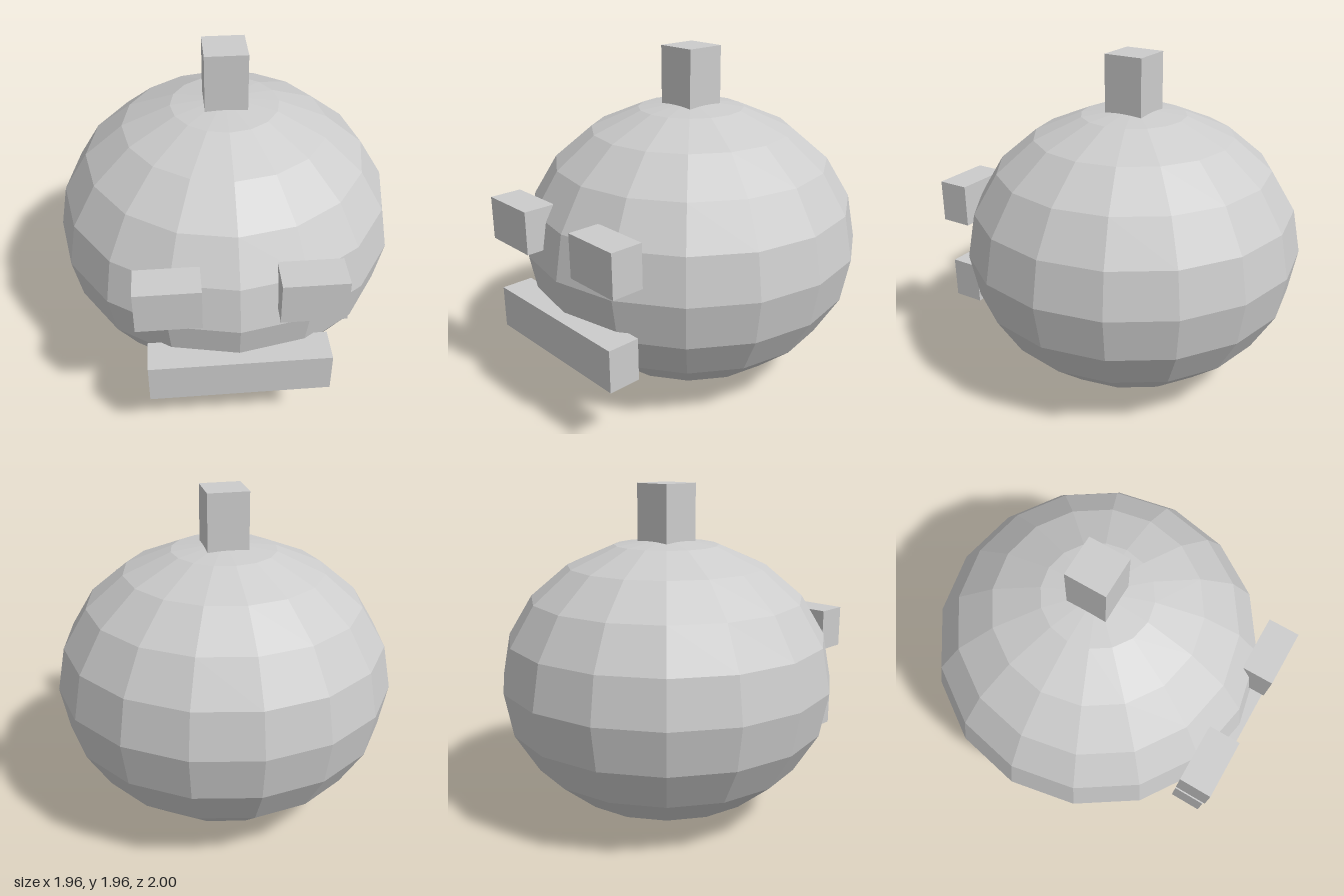
import * as THREE from 'three';

export function createModel() {
  const model = new THREE.Group();
  const grey = new THREE.MeshStandardMaterial({ color: 0xcccccc, flatShading: true });
  grey.name = 'plain grey';

  const add = (name, geometry, x, y, z) => {
    const mesh = new THREE.Mesh(geometry, grey);
    mesh.name = name;
    mesh.position.set(x, y, z);
    model.add(mesh);
  };
  const box = (w, h, d) => new THREE.BoxGeometry(w, h, d);

  // Squashed faceted body
  const body = new THREE.SphereGeometry(0.98, 16, 10);
  body.scale(1, 0.827 / 0.98, 1);
  add('pumpkinBody', body, 0, 0.827, -0.02);

  // Square stem, sunk slightly into the crown
  add('stem', box(0.235, 0.36, 0.235), 0, 1.78, -0.02);

  // Blocky face
  for (const side of [-1, 1]) {
    add(side > 0 ? 'leftEye' : 'rightEye', box(0.34, 0.245, 0.185), side * 0.367, 1.05, 0.907);
  }
  add('mouth', box(0.98, 0.24, 0.185), 0, 0.513, 0.907);

  return model;
}
